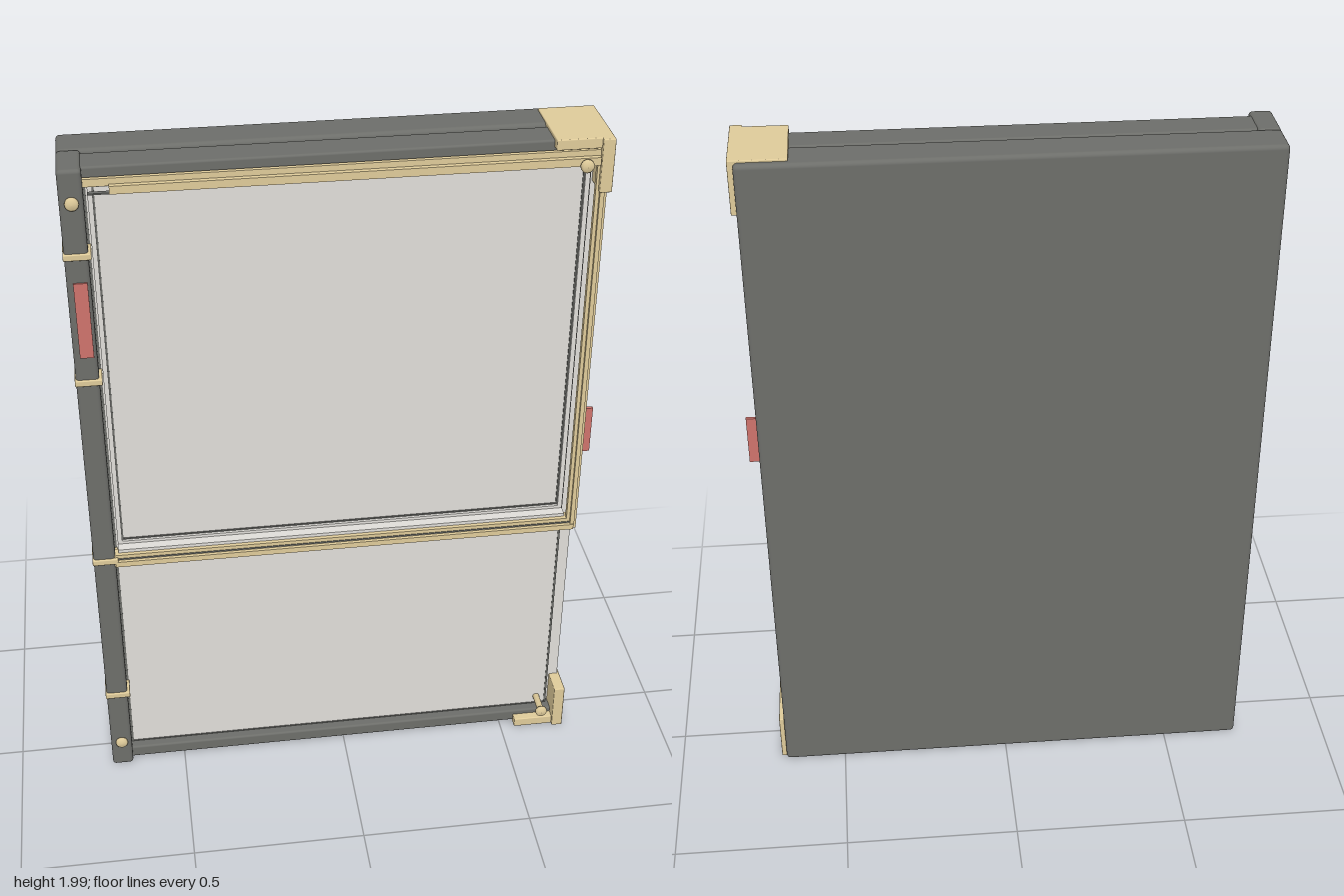
import * as THREE from 'three';
import { RoundedBoxGeometry } from 'three/addons/geometries/RoundedBoxGeometry.js';

const material = (name, color) => {
  const m = new THREE.MeshStandardMaterial({ color });
  m.name = name;
  return m;
};

export function createModel() {
  const root = new THREE.Group();
  root.name = 'clampedPanelCase';
  const dark = material('darkGrey', 0x6d6e6a);
  const light = material('lightGrey', 0xe0ded9);
  const gold = material('paleGold', 0xdfcb9a);
  const red = material('dullRed', 0xcf736c);

  // Box given by its minimum and maximum on each axis; r rounds the edges
  function block(name, mat, x0, x1, y0, y1, z0, z1, r = 0) {
    const size = [x1 - x0, y1 - y0, z1 - z0];
    const geo = r ? new RoundedBoxGeometry(...size, 3, r) : new THREE.BoxGeometry(...size);
    const mesh = new THREE.Mesh(geo, mat);
    mesh.name = name;
    mesh.position.set((x0 + x1) / 2, (y0 + y1) / 2, (z0 + z1) / 2);
    root.add(mesh);
  }

  // Four bars around a rectangle
  function frame(name, mat, x0, x1, y0, y1, z0, z1, w) {
    block(name + 'Left', mat, x0, x0 + w, y0, y1, z0, z1);
    block(name + 'Right', mat, x1 - w, x1, y0, y1, z0, z1);
    block(name + 'Bottom', mat, x0 + w, x1 - w, y0, y0 + w, z0, z1);
    block(name + 'Top', mat, x0 + w, x1 - w, y1 - w, y1, z0, z1);
  }

  // Back cover, spine and the flush outer wall joining them
  block('backCover', dark, -0.722, 0.68, 0.009, 1.994, -0.135, -0.024, 0.012);
  block('spine', dark, -0.722, -0.66, 0.009, 1.994, -0.03, 0.1, 0.01);
  block('spineWall', dark, -0.7215, -0.7, 0.02, 1.984, -0.12, 0.085);

  // Top and bottom rails of the front body
  block('bottomRail', dark, -0.67, 0.665, 0.012, 0.05, -0.015, 0.075, 0.006);
  block('topRail', dark, -0.67, 0.665, 1.952, 1.99, -0.015, 0.075, 0.006);

  // Stacked sheets around a dark core, seen as stripes on the open side
  block('sheetCore', dark, -0.665, 0.676, 0.045, 1.955, -0.015, 0.03);
  for (const [z0, z1] of [[-0.016, -0.007], [0, 0.009], [0.016, 0.034]]) {
    block('sheet', light, -0.665, 0.688, 0.045, 1.955, z0, z1);
  }
  block('frontSheet', light, -0.662, 0.648, 0.045, 1.955, 0.03, 0.045);
  frame('sheetOutline', dark, -0.66, 0.654, 0.047, 1.955, 0.03, 0.047, 0.006);

  // Upper panel border, stepped above the front sheet
  frame('panelBorder', light, -0.65, 0.65, 0.812, 1.94, 0.04, 0.056, 0.013);
  frame('panelOutline', dark, -0.637, 0.637, 0.825, 1.927, 0.04, 0.048, 0.004);
  block('panelLedge', light, -0.65, 0.65, 0.806, 0.816, 0.045, 0.085);

  // Open gold frame standing clear of the sheet
  block('frameTop', gold, -0.66, 0.685, 1.945, 1.966, 0.083, 0.095);
  block('frameTopBead', gold, -0.595, 0.66, 1.928, 1.95, 0.095, 0.109);
  block('frameTopGroove', dark, -0.65, 0.65, 1.924, 1.928, 0.085, 0.098);
  block('frameRight', gold, 0.655, 0.685, 0.77, 1.95, 0.083, 0.097);
  block('frameRightBead', gold, 0.665, 0.677, 0.79, 1.95, 0.097, 0.105);
  block('frameBottom', gold, -0.68, 0.675, 0.768, 0.806, 0.065, 0.097);
  block('frameBottomBead', gold, -0.66, 0.675, 0.772, 0.789, 0.097, 0.107);
  block('frameBottomGroove', dark, -0.66, 0.665, 0.791, 0.795, 0.09, 0.099);

  // Gold corner brackets: cap plate, side plate and front lip, mirrored vertically
  for (const side of [1, -1]) {
    const span = (name, x0, x1, a, b, z0, z1) => {
      const ys = [1.003 + side * a, 1.003 + side * b].sort((p, q) => p - q);
      block(name, gold, x0, x1, ys[0], ys[1], z0, z1, 0.003);
    };
    span('cornerCap', 0.543, 0.695, 0.968, 0.997, -0.115, 0.1);
    span('cornerSide', 0.662, 0.695, 0.848, 0.997, -0.115, 0.1);
    span('cornerLip', 0.662, 0.695, 0.848, 0.997, 0.09, 0.111);
  }

  // Bands wrapping the spine, with pins near the cover seam
  for (const y of [1.757, 1.385, 0.79, 0.29]) {
    block('spineBand', gold, -0.725, -0.652, y - 0.009, y + 0.009, -0.005, 0.106, 0.003);
    block('spinePin', light, -0.7235, -0.716, y - 0.004, y + 0.004, -0.108, -0.1);
  }

  // Round studs on posts
  function stud(x, y, z) {
    const profile = [[0, -0.07], [0.01, -0.07], [0.01, 0], [0.018, 0], [0.018, 0.007], [0.013, 0.013], [0, 0.014]];
    const geo = new THREE.LatheGeometry(profile.map(p => new THREE.Vector2(...p)), 20);
    const mesh = new THREE.Mesh(geo, gold);
    mesh.name = 'stud';
    mesh.rotation.x = Math.PI / 2;
    mesh.position.set(x, y, z);
    root.add(mesh);
  }
  for (const y of [1.905, 0.1]) stud(-0.69, y, 0.099);
  for (const y of [1.932, 0.077]) stud(0.622, y, 0.114);

  // Red spine label and side tab
  block('spineLabel', red, -0.705, -0.668, 1.463, 1.683, 0.098, 0.105);
  block('sideTab', red, 0.68, 0.72, 1.005, 1.15, 0.037, 0.047);

  return root;
}
